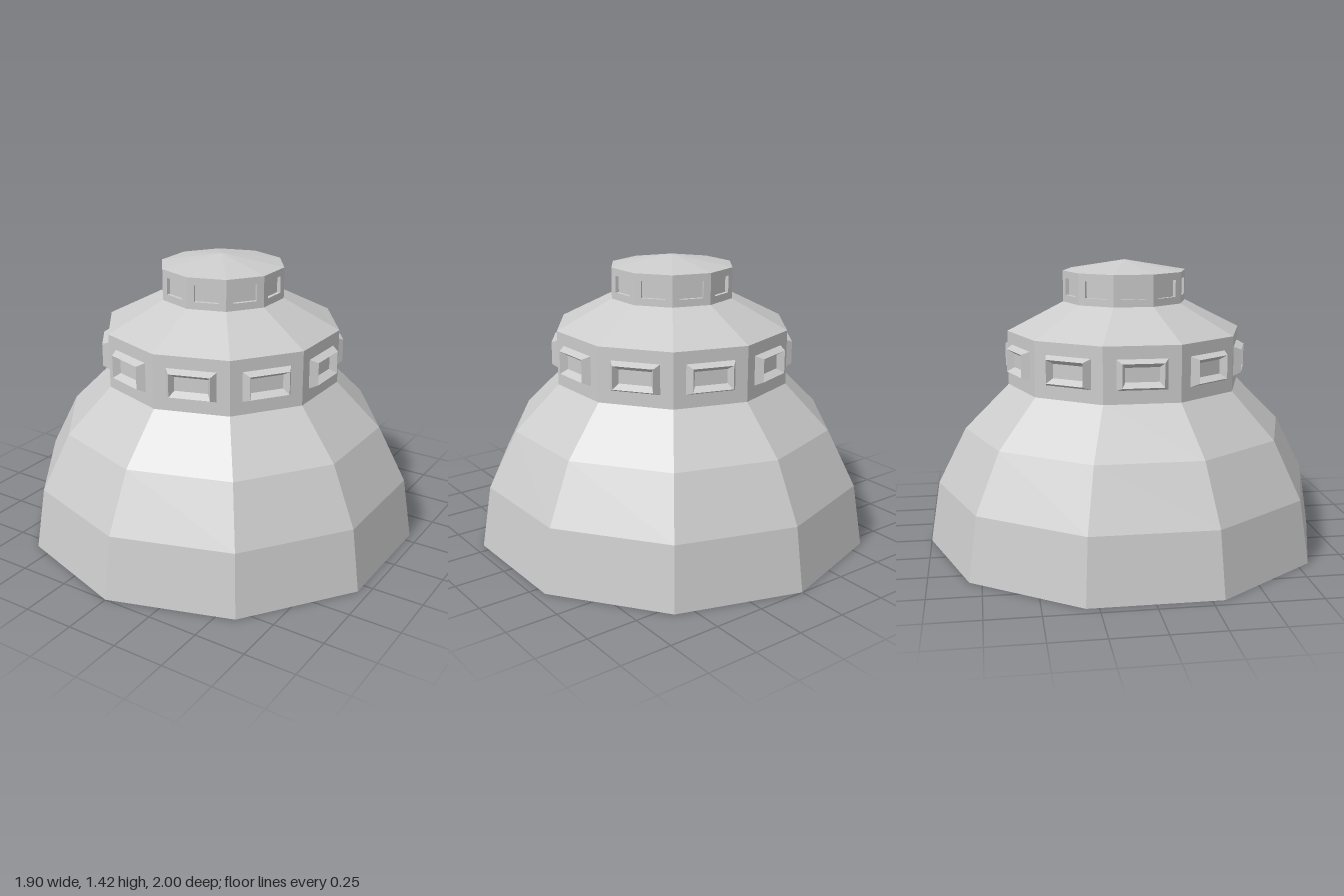
import * as THREE from 'three';

const SIDES = 10;
const APOTHEM = Math.cos(Math.PI / SIDES);
const material = new THREE.MeshStandardMaterial({ color: 0xcccccc, flatShading: true });

// Ten-sided shell turned from a bottom-to-top profile of [radius, y]
function shell(name, profile) {
  const points = profile.map(([r, y]) => new THREE.Vector2(r, y));
  const mesh = new THREE.Mesh(new THREE.LatheGeometry(points, SIDES), material);
  mesh.name = name;
  return mesh;
}

// Skin through nested rectangles [halfWidth, halfHeight, z], closed by a pane on the last one
function steppedPanel(rects) {
  const position = [];
  const index = [];
  for (const [w, h, z] of rects) position.push(-w, -h, z, w, -h, z, w, h, z, -w, h, z);
  for (let i = 0; i < rects.length - 1; i++) {
    for (let k = 0; k < 4; k++) {
      const a = i * 4 + k, b = i * 4 + (k + 1) % 4;
      index.push(a, b, b + 4, a, b + 4, a + 4);
    }
  }
  const p = (rects.length - 1) * 4;
  index.push(p, p + 1, p + 2, p, p + 2, p + 3);
  const geometry = new THREE.BufferGeometry();
  geometry.setAttribute('position', new THREE.Float32BufferAttribute(position, 3));
  geometry.setIndex(index);
  const flat = geometry.toNonIndexed();
  flat.computeVertexNormals();
  return flat;
}

// One copy of a panel on each of the ten faces of a drum
function ring(name, geometry, radius, y) {
  const group = new THREE.Group();
  group.name = name + 'Ring';
  for (let i = 0; i < SIDES; i++) {
    const angle = (i + 0.5) * 2 * Math.PI / SIDES;
    const mesh = new THREE.Mesh(geometry, material);
    mesh.name = name;
    mesh.position.set(Math.sin(angle) * radius * APOTHEM, y, Math.cos(angle) * radius * APOTHEM);
    mesh.rotation.y = angle;
    group.add(mesh);
  }
  return group;
}

export function createModel() {
  const model = new THREE.Group();
  model.name = 'domedTower';

  const drumR = 0.588, topR = 0.309;
  const topLow = 1.22, topHigh = 1.373;

  // Closed floor and stepped dome
  model.add(shell('dome', [[0, 0], [1, 0], [0.951, 0.309], [0.809, 0.588], [drumR, 0.809]]));
  // Window drum and the sloping roof above it
  model.add(shell('drum', [[drumR, 0.809], [drumR, 1.078]]));
  model.add(shell('drumRoof', [[drumR, 1.078], [topR, topLow]]));
  // Shallow cap of the lantern
  model.add(shell('lanternCap', [[topR, topHigh], [0, 1.425]]));

  // Projecting bevelled frames with a sunken pane
  const frame = steppedPanel([
    [0.12, 0.072, 0], [0.098, 0.056, 0.037], [0.08, 0.034, 0.003],
  ]);
  model.add(ring('windowFrame', frame, drumR, 0.945));

  // Lantern walls, each with a recessed window
  const wall = steppedPanel([
    [topR * Math.sin(Math.PI / SIDES), (topHigh - topLow) / 2, 0],
    [0.06, 0.041, 0], [0.06, 0.041, -0.018],
  ]);
  model.add(ring('lanternWall', wall, topR, (topLow + topHigh) / 2));

  return model;
}
